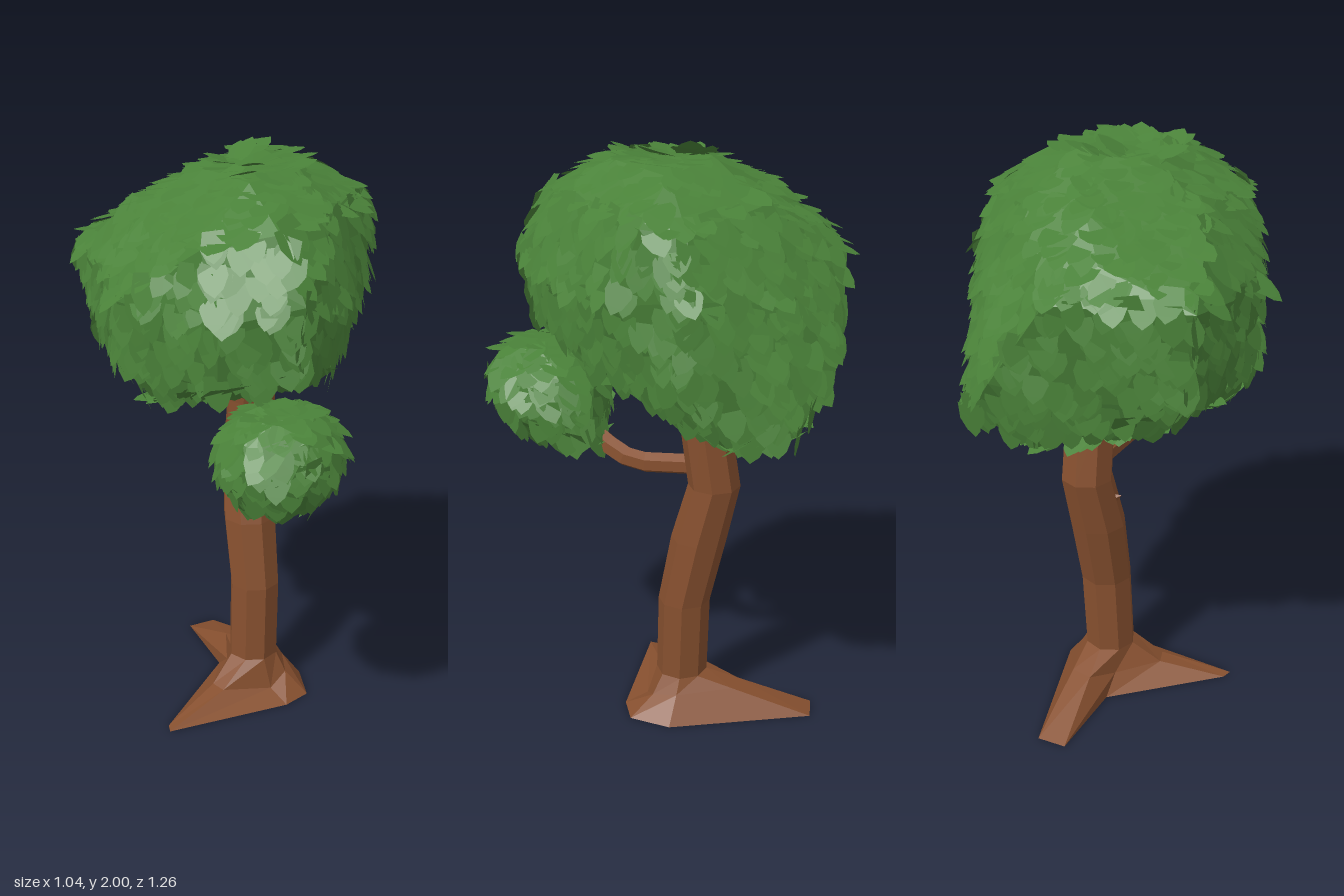
import * as THREE from 'three';
import { mergeGeometries } from 'three/addons/utils/BufferGeometryUtils.js';
import { ConvexGeometry } from 'three/addons/geometries/ConvexGeometry.js';

const bark = new THREE.MeshStandardMaterial({ color: 0x87502f });
bark.name = 'bark brown';
const leaf = new THREE.MeshStandardMaterial({ color: 0x4a8239, side: THREE.DoubleSide });
leaf.name = 'leaf green';

const V = (x, y, z) => new THREE.Vector3(x, y, z);

// Small seeded random generator
function seeded(seed) {
  return () => {
    seed = (seed * 1664525 + 1013904223) >>> 0;
    return seed / 4294967296;
  };
}

// Give every face its own flat normal
function faceted(geometry) {
  const g = geometry.index ? geometry.toNonIndexed() : geometry;
  g.computeVertexNormals();
  return g;
}

function addMesh(parent, name, geometry, material) {
  const mesh = new THREE.Mesh(geometry, material);
  mesh.name = name;
  parent.add(mesh);
  return mesh;
}

// Skin a stack of equal-sized rings and close both ends around the given centres
function loft(rings, baseMid, topMid) {
  const pts = [];
  const n = rings[0].length;
  const top = rings[rings.length - 1];
  for (let j = 0; j < n; j++) {
    const k = (j + 1) % n;
    for (let i = 0; i < rings.length - 1; i++) {
      const [a, b, c, d] = [rings[i][j], rings[i][k], rings[i + 1][j], rings[i + 1][k]];
      pts.push(a, c, b, b, c, d);
    }
    pts.push(baseMid, rings[0][j], rings[0][k], topMid, top[k], top[j]);
  }
  return faceted(new THREE.BufferGeometry().setFromPoints(pts));
}

// Trunk: bent eight-sided column with a flare running into two long roots
function trunkGeometry() {
  const ring = ([x, y, z, r]) => Array.from({ length: 8 }, (_, j) => {
    const a = (j * Math.PI) / 4;
    return V(x + r * Math.cos(a), y, z + r * Math.sin(a));
  });
  const column = [
    [0.045, 0.14, -0.087, 0.088], [0.055, 0.42, -0.095, 0.089],
    [0.06, 0.66, -0.145, 0.095], [0.075, 0.86, -0.195, 0.088],
    [0.075, 1.1, -0.16, 0.085], [0.06, 1.3, -0.11, 0.078],
  ].map(ring);
  // ground outline as x, z and the height of the bend above it
  const feet = [
    [0.225, -0.06, 0.09], [0.18, 0.08, 0.07], [0.08, 0.11, 0.035], [-0.36, 0.07, 0.06],
    [-0.35, 0.035, 0.06], [-0.015, -0.25, 0.06], [0.0, -0.545, 0.098], [0.1, -0.545, 0.098],
  ];
  const ground = feet.map(([x, z]) => V(x, 0, z));
  const bend = feet.map(([x, z, y], j) => {
    const p = column[0][j].clone().lerp(V(x, 0, z), 0.3);
    p.y = y;
    return p;
  });
  return loft([ground, bend, ...column], V(0.045, 0, -0.085), V(0.06, 1.3, -0.11));
}

// One pointed leaf, hanging from its root along -y
function leafGeometry() {
  const s = new THREE.Shape([
    [-0.032, 0.01], [-0.042, -0.045], [-0.026, -0.082], [0, -0.105],
    [0.026, -0.082], [0.042, -0.045], [0.032, 0.01],
  ].map(([x, y]) => new THREE.Vector2(x, y)));
  return new THREE.ShapeGeometry(s).toNonIndexed();
}

// Cover a hull with overlapping leaves that point downhill
function leafCover(hull, density, seed) {
  const rand = seeded(seed);
  const pos = hull.attributes.position;
  const single = leafGeometry();
  const leaves = [];
  const tri = new THREE.Triangle();
  const n = V(0, 0, 0);
  let carry = 0;
  for (let i = 0; i < pos.count; i += 3) {
    tri.setFromAttributeAndIndices(pos, i, i + 1, i + 2);
    tri.getNormal(n);
    carry += tri.getArea() * density;
    for (; carry >= 1; carry--) {
      let u = rand(), v = rand();
      if (u + v > 1) { u = 1 - u; v = 1 - v; }
      const p = tri.a.clone().multiplyScalar(1 - u - v)
        .addScaledVector(tri.b, u).addScaledVector(tri.c, v);
      const down = V(0, -1, 0).addScaledVector(n, n.y);
      if (down.length() < 0.15) down.set(p.x, 0, p.z + 0.1);
      down.addScaledVector(n, -down.dot(n)).normalize();
      down.applyAxisAngle(n, (rand() - 0.5) * 0.7);
      const tilt = 0.15 + rand() * 0.3;
      const dir = down.clone().multiplyScalar(Math.cos(tilt)).addScaledVector(n, Math.sin(tilt));
      const up = dir.negate();
      const face = n.clone().addScaledVector(up, -n.dot(up)).normalize();
      const side = up.clone().cross(face);
      const size = 0.8 + rand() * 0.35;
      const m = new THREE.Matrix4().makeBasis(side, up, face).scale(V(size, size, size));
      p.addScaledVector(n, 0.004 + rand() * 0.008).addScaledVector(up, 0.045);
      leaves.push(single.clone().applyMatrix4(m.setPosition(p)));
    }
  }
  return mergeGeometries(leaves);
}

function foliage(name, points, density, seed) {
  const group = new THREE.Group();
  group.name = name;
  const hull = faceted(new ConvexGeometry(points));
  addMesh(group, name + 'Core', hull, leaf);
  addMesh(group, name + 'Leaves', leafCover(hull, density, seed), leaf);
  return group;
}

export function createModel() {
  const tree = new THREE.Group();
  tree.name = 'tree';

  addMesh(tree, 'trunk', trunkGeometry(), bark);

  // Side branch reaching forward to the small clump
  const path = new THREE.CurvePath();
  const bends = [V(0.05, 0.92, -0.18), V(0.035, 0.915, 0.08), V(-0.02, 0.97, 0.2), V(-0.1, 1.07, 0.33)];
  for (let i = 0; i < 3; i++) path.add(new THREE.LineCurve3(bends[i], bends[i + 1]));
  addMesh(tree, 'branch', faceted(new THREE.TubeGeometry(path, 8, 0.036, 6)), bark);

  // Broken stub on the side of the trunk
  const stub = addMesh(tree, 'brokenStub', faceted(new THREE.ConeGeometry(0.06, 0.12, 4)), bark);
  stub.position.set(0.015, 0.765, -0.165);
  stub.rotation.z = Math.PI / 2 - 0.5;

  // Large crown: rings of hull points from top to bottom
  const crown = [
    [-0.1, 1.93, 0.17], [0.1, 1.94, 0.12], [0.1, 1.96, -0.18], [-0.14, 1.93, -0.1], [0.25, 1.92, -0.06],
    [-0.3, 1.77, 0.25], [-0.1, 1.82, 0.37], [0.12, 1.82, 0.29], [0.42, 1.8, 0.01], [0.41, 1.78, -0.13],
    [0.2, 1.83, -0.34], [-0.02, 1.85, -0.37], [-0.34, 1.79, -0.22], [-0.12, 1.74, -0.49],
    [-0.46, 1.56, -0.02], [-0.28, 1.55, 0.32], [-0.06, 1.62, 0.46], [0.13, 1.55, 0.34],
    [0.36, 1.55, 0.1], [0.475, 1.6, -0.14], [0.3, 1.56, -0.42], [0, 1.64, -0.6], [-0.42, 1.64, -0.48],
    [-0.43, 1.34, -0.1], [-0.25, 1.32, 0.25], [-0.05, 1.38, 0.4], [0.18, 1.29, 0.18],
    [0.4, 1.28, -0.12], [0.2, 1.35, -0.59], [0, 1.3, -0.52], [-0.36, 1.3, -0.4],
    [-0.33, 1.2, -0.08], [-0.1, 1.22, 0.03], [0.15, 1.16, -0.08],
    [0.35, 1.1, -0.25], [0.36, 1.15, -0.46], [0.1, 1.12, -0.48], [-0.27, 1.18, -0.32],
  ].map((p) => V(...p));
  tree.add(foliage('crown', crown, 430, 7));

  // Small clump at the end of the branch, reaching back along the branch
  const ball = new THREE.IcosahedronGeometry(1, 1).attributes.position;
  const clump = Array.from({ length: ball.count }, (_, i) => {
    const p = V(0, 0, 0).fromBufferAttribute(ball, i);
    return V(-0.105 + 0.195 * p.x, 1.125 + 0.175 * p.y + 0.03 * p.z, 0.385 + 0.205 * p.z);
  });
  clump.push(V(0.05, 0.97, 0.22), V(-0.12, 0.97, 0.22), V(-0.22, 0.98, 0.33));
  tree.add(foliage('clump', clump, 560, 21));

  return tree;
}
